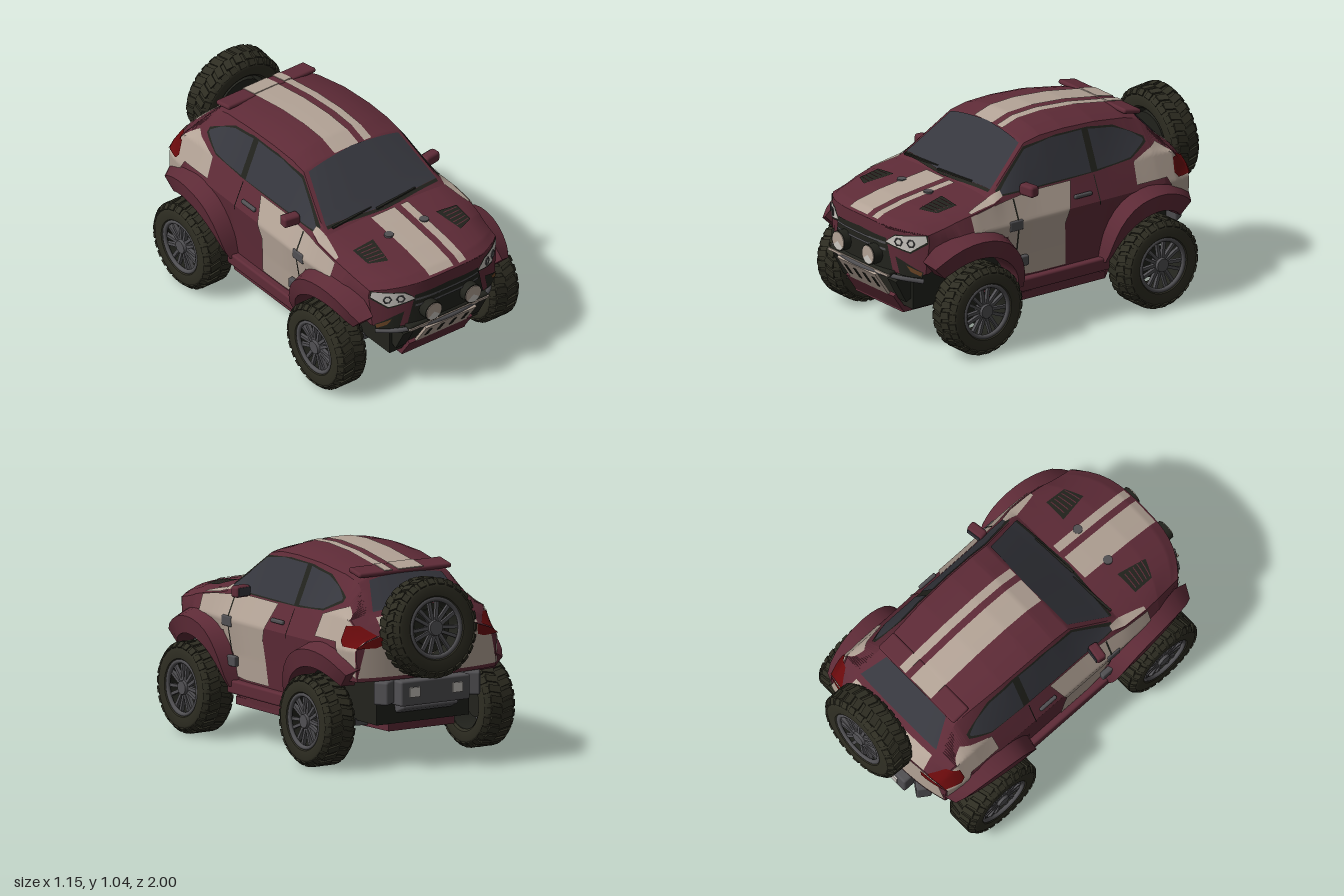
import * as THREE from 'three';
import { mergeGeometries, toCreasedNormals } from 'three/addons/utils/BufferGeometryUtils.js';
import { RoundedBoxGeometry } from 'three/addons/geometries/RoundedBoxGeometry.js';

const mat = (name, color) => new THREE.MeshStandardMaterial({ name, color, side: THREE.DoubleSide });
const maroon = mat('maroon paint', 0x5e2b37), cream = mat('cream paint', 0xb3a396);
const glass = mat('dark glass', 0x36373e), black = mat('black trim', 0x22231d);
const rubber = mat('tyre rubber', 0x2e2d22), metal = mat('grey metal', 0x515053);
const lens = mat('lamp lens', 0xcbc7c1), red = mat('tail lamp red', 0x6a0a0c);
const rust = mat('suspension brown', 0x6b4526);

// Body stations: z, low width, mid width, belt width, belt y, top width, top edge y, top centre y
const stations = [
  [-0.85, 0.42, 0.425, 0.375, 0.665, 0.27, 0.705, 0.72],
  [-0.80, 0.43, 0.44, 0.385, 0.705, 0.28, 0.755, 0.765],
  [-0.74, 0.44, 0.45, 0.40, 0.765, 0.30, 0.79, 0.81],
  [-0.60, 0.44, 0.455, 0.40, 0.775, 0.275, 0.925, 0.965],
  [-0.50, 0.44, 0.455, 0.40, 0.765, 0.285, 0.955, 0.992],
  [-0.30, 0.44, 0.458, 0.40, 0.755, 0.30, 0.985, 1.024],
  [-0.10, 0.44, 0.46, 0.40, 0.755, 0.305, 0.995, 1.038],
  [0.05, 0.44, 0.46, 0.40, 0.755, 0.305, 0.99, 1.03],
  [0.15, 0.44, 0.46, 0.40, 0.755, 0.305, 0.97, 0.997],
  [0.36, 0.43, 0.465, 0.41, 0.755, 0.36, 0.805, 0.825],
  [0.43, 0.43, 0.465, 0.427, 0.735, 0.365, 0.757, 0.77],
  [0.55, 0.42, 0.46, 0.43, 0.715, 0.365, 0.738, 0.757],
  [0.75, 0.42, 0.45, 0.42, 0.69, 0.36, 0.715, 0.732],
  [0.90, 0.41, 0.42, 0.405, 0.66, 0.35, 0.68, 0.70],
  [0.95, 0.39, 0.405, 0.40, 0.65, 0.33, 0.66, 0.675],
];
const lerpStations = new THREE.LinearInterpolant(stations.map(s => s[0]), stations.flatMap(s => s.slice(1)), 7);
const axles = [0.575, -0.535], wheelY = 0.235;

// Rounds nose and tail in plan
const warp = ([x, y, z]) =>
  [x, y, z - Math.sign(z) * (z > 0 ? 2 : 0.7) * Math.abs(x) ** 3 * THREE.MathUtils.smoothstep(Math.abs(z), 0.5, 0.95)];

// Half section from lower edge to top centre, with the wheel arches cut out
function section(z) {
  const [wl, wm, wb, yB, wt, ye, yc] = lerpStations.evaluate(z);
  const zs = warp([0.43, 0, z])[2];
  let low = zs > 0.7 ? 0.4 : zs < -0.65 ? 0.46 : 0.2;
  for (const a of axles) if (Math.abs(zs - a) < 0.29) low = Math.max(low, wheelY + Math.sqrt(0.0841 - (zs - a) ** 2));
  const pts = [[wl - 0.02, low], [wl, Math.max(low, 0.44)], [wm, Math.max(low, 0.62)], [wb, yB]];
  for (let i = 0; i <= 6; i++) { const t = 1 - i / 6; pts.push([wt * t, ye + (yc - ye) * (1 - t ** 3)]); }
  return pts;
}
// Reads one coordinate of the section at a given value of the other
function along(z, key, value) {
  const p = section(z);
  for (let i = key ? 0 : 3; i < p.length - 1; i++) {
    const a = p[i], b = p[i + 1], t = (value - a[key]) / (b[key] - a[key]);
    if (t >= 0 && t <= 1) return a[1 - key] + (b[1 - key] - a[1 - key]) * t;
  }
  return p[key ? 4 : 3][1 - key];
}
const onSide = e => (z, y) => warp([along(z, 1, y) + e, y, z]);
const onTop = e => (x, z) => warp([x, along(z, 0, Math.abs(x)) + e, z]);
const onNose = e => (x, y) => { const p = warp([x, y, 0.95]); p[2] += e; return p; };
const onTail = e => (x, y) => { const p = warp([x, y, -0.85]); p[2] -= e; return p; };

// Surface through rows of points
function grid(rows, crease = 0.6) {
  const n = rows[0].length, index = [];
  for (let i = 0; i < rows.length - 1; i++) for (let j = 0; j < n - 1; j++) {
    const a = i * n + j, b = a + n;
    index.push(a, b, a + 1, b, b + 1, a + 1);
  }
  const g = new THREE.BufferGeometry();
  g.setAttribute('position', new THREE.Float32BufferAttribute(rows.flat(2), 3));
  g.setIndex(index);
  return toCreasedNormals(g, crease);
}
// Thin painted patch between two polylines, laid on a surface
function patch(place, top, bottom) {
  const rows = [], seg = top.length - 1, mix = (a, b, t) => a.map((v, k) => v + (b[k] - v) * t);
  for (let i = 0; i <= seg * 8; i++) {
    const s = Math.min(Math.floor(i / 8), seg - 1), t = i / 8 - s;
    const a = mix(top[s], top[s + 1], t), b = mix(bottom[s], bottom[s + 1], t);
    rows.push(Array.from({ length: 19 }, (_, j) => place(...mix(a, b, j / 18))));
  }
  return grid(rows);
}

function makeWheel() {
  const wheel = new THREE.Group();
  const put = (name, g, m) => { const o = new THREE.Mesh(g, m); o.name = name; wheel.add(o); };
  const prof = [[0.138, -0.075], [0.15, -0.088], [0.195, -0.092], [0.215, -0.082], [0.226, -0.06], [0.228, 0],
    [0.226, 0.06], [0.215, 0.082], [0.195, 0.092], [0.15, 0.088], [0.138, 0.075]].map(p => new THREE.Vector2(...p));
  put('tyre', toCreasedNormals(new THREE.LatheGeometry(prof, 44).rotateZ(-Math.PI / 2), 0.7), rubber);
  const lugs = [], spokes = [];
  for (let i = 0; i < 26; i++) for (const s of [-1, 1]) {
    const turn = (i + s * 0.25) * Math.PI / 13;
    lugs.push(new THREE.BoxGeometry(0.068, 0.02, 0.036).rotateY(s * 0.25).translate(s * 0.03, 0.2245, 0).rotateX(turn));
    lugs.push(new THREE.BoxGeometry(0.034, 0.02, 0.034).rotateZ(-s * 0.75).translate(s * 0.074, 0.214, 0).rotateX(turn));
  }
  put('treadLugs', mergeGeometries(lugs), rubber);
  for (let i = 0; i < 7; i++) for (const s of [-1, 1])
    spokes.push(new THREE.BoxGeometry(0.02, 0.105, 0.016).rotateX(s * 0.14).translate(0.06, 0.085, s * 0.017)
      .rotateX(i * Math.PI * 2 / 7));
  put('spokes', mergeGeometries(spokes), metal);
  put('rimRing', new THREE.TorusGeometry(0.136, 0.012, 8, 36).rotateY(Math.PI / 2).translate(0.075, 0, 0), metal);
  put('hub', new THREE.CylinderGeometry(0.035, 0.045, 0.05, 16).rotateZ(-Math.PI / 2).translate(0.06, 0, 0), metal);
  put('rimBarrel', new THREE.CylinderGeometry(0.139, 0.139, 0.16, 32, 1, true).rotateZ(-Math.PI / 2), black);
  put('brakeDisc', new THREE.CylinderGeometry(0.085, 0.085, 0.02, 24).rotateZ(-Math.PI / 2), black);
  return wheel;
}

// Fender flare swept around a wheel, slimmer at the end that meets the door
function flare(zc, from, to, doorAt) {
  const rows = [];
  for (let i = 0; i <= 14; i++) {
    const t = i / 14, a = THREE.MathUtils.degToRad(from + (to - from) * t);
    const x = 0.475 + 0.067 * Math.sin(Math.PI * t) ** 0.7;
    const slim = 0.085 * THREE.MathUtils.smoothstep(1 - Math.abs(t - doorAt), 0.5, 1);
    rows.push([[0.41, 0.41 - slim], [x, 0.365 - slim * 0.7], [x - 0.01, 0.275], [0.38, 0.27], [0.41, 0.41 - slim]]
      .map(([px, r]) => [px, wheelY + r * Math.sin(a), zc + r * 0.98 * Math.cos(a)]));
  }
  const shut = r => r.map(() => [0.43, (r[0][1] + r[2][1]) / 2, (r[0][2] + r[2][2]) / 2]);
  return grid([shut(rows[0]), ...rows, shut(rows[14])], 0.5);
}

export function createModel() {
  const car = new THREE.Group();
  car.name = 'offRoadCar';
  const add = (name, g, m, x = 0, y = 0, z = 0, rx = 0, ry = 0, rz = 0) => {
    const o = new THREE.Mesh(g, m);
    o.name = name; o.position.set(x, y, z); o.rotation.set(rx, ry, rz); car.add(o);
    return o;
  };
  const pair = (name, ...rest) => {
    const left = add(name + 'Left', ...rest), holder = new THREE.Group();
    holder.name = name + 'Right'; holder.scale.x = -1; holder.add(left.clone()); car.add(holder);
  };
  const box = (w, h, d) => new THREE.BoxGeometry(w, h, d);
  const rbox = (w, h, d, r = 0.012) => new RoundedBoxGeometry(w, h, d, 2, r);
  const rod = (r, l, n = 16) => new THREE.CylinderGeometry(r, r, l, n);

  // Body shell with nose and tail panels
  const shell = [];
  for (let i = 0; i <= 180; i++) {
    const z = -0.85 + i * 0.01, half = section(z);
    shell.push([...half, ...half.slice(0, -1).reverse().map(([x, y]) => [-x, y])].map(([x, y]) => warp([x, y, z])));
  }
  add('bodyShell', grid(shell, 0.45), maroon);
  for (const [name, z] of [['nosePanel', 0.95], ['tailPanel', -0.85]])
    add(name, grid(section(z).map(([x, y]) => Array.from({ length: 21 }, (_, i) => warp([x * (i / 10 - 1), y, z])))), maroon);

  // Roof spoiler, and stripes over spoiler, roof and hood
  add('spoiler', rbox(0.56, 0.026, 0.11), maroon, 0, 0.971, -0.562, -0.2);
  for (const [a, b] of [[-0.108, 0.043], [0.08, 0.126]]) {
    for (const [z0, z1] of [[0.15, -0.53], [0.94, 0.45]]) {
      const line = x => Array.from({ length: 7 }, (_, i) => [x, z0 + (z1 - z0) * i / 6]);
      add('stripe', patch(onTop(0.005), line(a), line(b)), cream);
    }
    add('spoilerStripe', box(b - a, 0.006, 0.1), cream, (a + b) / 2, 0.984, -0.564, -0.2);
  }
  // Cream side panels
  pair('fenderCream', patch(onSide(0.007), [[0.6, 0.705], [0.45, 0.73], [0.2, 0.752], [-0.07, 0.752]],
    [[0.6, 0.56], [0.45, 0.56], [0.2, 0.55], [0.0, 0.55]]), cream);
  pair('hoodCornerCream', patch(onTop(0.006), [[0.385, 0.36], [0.375, 0.43], [0.41, 0.59]], [[0.409, 0.36], [0.426, 0.43], [0.427, 0.59]]), cream);
  pair('doorCream', patch(onSide(0.005), [[0.36, 0.56], [0.2, 0.55], [0, 0.55]], [[0.30, 0.33], [0.2, 0.32], [-0.02, 0.32]]), cream);
  pair('quarterCream', patch(onSide(0.007), [[-0.47, 0.762], [-0.55, 0.79], [-0.65, 0.82], [-0.74, 0.763], [-0.80, 0.704], [-0.85, 0.664]],
    [[-0.46, 0.65], [-0.58, 0.65], [-0.67, 0.65], [-0.73, 0.56], [-0.80, 0.5], [-0.85, 0.48]]), cream);
  add('tailCream', patch(onTail(0.004), [[-0.375, 0.665], [-0.27, 0.703], [0.27, 0.703], [0.375, 0.665]],
    [[-0.42, 0.48], [-0.27, 0.48], [0.27, 0.48], [0.42, 0.48]]), cream);
  add('tailTopCream', patch(onTop(0.004), [[-0.28, -0.775], [0, -0.775], [0.28, -0.775]], [[-0.29, -0.85], [0, -0.85], [0.29, -0.85]]), cream);

  // Windows
  pair('windowTrim', patch(onSide(0.004), [[0.38, 0.785], [0.16, 0.957], [-0.05, 0.977], [-0.25, 0.972], [-0.41, 0.945], [-0.585, 0.855]],
    [[0.38, 0.762], [0.16, 0.757], [-0.05, 0.757], [-0.25, 0.76], [-0.46, 0.775], [-0.585, 0.83]]), black);
  pair('doorWindow', patch(onSide(0.008), [[0.36, 0.785], [0.16, 0.945], [0, 0.97], [-0.205, 0.968]],
    [[0.36, 0.77], [0.16, 0.765], [0, 0.765], [-0.205, 0.765]]), glass);
  pair('rearSideWindow', patch(onSide(0.008), [[-0.245, 0.963], [-0.40, 0.938], [-0.50, 0.898], [-0.57, 0.85]],
    [[-0.245, 0.77], [-0.36, 0.775], [-0.46, 0.785], [-0.57, 0.84]]), glass);
  add('windshield', patch(onTop(0.007), [[-0.285, 0.165], [0, 0.15], [0.285, 0.165]], [[-0.35, 0.395], [0, 0.425], [0.35, 0.395]]), glass);
  add('cowl', patch(onTop(0.006), [[-0.35, 0.395], [0, 0.425], [0.35, 0.395]], [[-0.35, 0.41], [0, 0.44], [0.35, 0.41]]), black);
  add('rearWindow', patch(onTop(0.007), [[-0.22, -0.615], [0.22, -0.615]], [[-0.28, -0.745], [0.28, -0.745]]), glass);
  for (const x of [-0.2, 0.08]) add('wiper', box(0.26, 0.008, 0.012), black, x, 0.79, 0.412, 0, 0.08, 0.03);

  // Hood vents and pins
  pair('hoodVent', patch(onTop(0.005), [[0.2, 0.59], [0.33, 0.6]], [[0.23, 0.77], [0.325, 0.75]]), black);
  for (let i = 0; i < 5; i++) pair('ventSlat', patch(onTop(0.009), [[0.225, 0.617 + i * 0.03], [0.315, 0.617 + i * 0.03]],
    [[0.225, 0.623 + i * 0.03], [0.315, 0.623 + i * 0.03]]), maroon);
  pair('hoodPin', rod(0.025, 0.01, 12), metal, 0.112, 0.754, 0.605);

  // Nose: grille, lamps, intakes
  add('grille', patch(onNose(0.004), [[-0.2, 0.605], [0, 0.615], [0.2, 0.605]], [[-0.24, 0.44], [0, 0.44], [0.24, 0.44]]), black);
  for (const y of [0.585, 0.55]) add('grilleBar', patch(onNose(0.009), [[-0.2, y], [0, y], [0.2, y]],
    [[-0.2, y - 0.012], [0, y - 0.012], [0.2, y - 0.012]]), metal);
  pair('headlightSurround', patch(onNose(0.003), [[0.215, 0.605], [0.25, 0.635], [0.4, 0.65]], [[0.19, 0.58], [0.33, 0.545], [0.403, 0.605]]), black);
  pair('headlight', patch(onNose(0.006), [[0.22, 0.605], [0.255, 0.63], [0.395, 0.647]], [[0.2, 0.587], [0.33, 0.555], [0.4, 0.615]]), lens);
  for (const x of [0.275, 0.335]) {
    const [px, py, pz] = onNose(0.009)(x, 0.6);
    pair('headlightRing', new THREE.TorusGeometry(0.02, 0.004, 6, 6), metal, px, py, pz, 0, 0.55);
  }
  pair('bumperIntake', patch(onNose(0.005), [[0.255, 0.52], [0.3, 0.5], [0.385, 0.45]], [[0.28, 0.425], [0.33, 0.42], [0.38, 0.42]]), black);
  pair('intakeBrace', patch(onNose(0.009), [[0.315, 0.482], [0.383, 0.45]], [[0.335, 0.45], [0.378, 0.43]]), rust);
  pair('spotLamp', rod(0.053, 0.06, 24), black, 0.125, 0.505, 0.965, Math.PI / 2);
  pair('spotLens', rod(0.048, 0.008, 24), cream, 0.125, 0.505, 0.995, Math.PI / 2);
  pair('spotBulb', new THREE.CircleGeometry(0.046, 12, Math.PI * 1.2, Math.PI * 0.6), lens, 0.125, 0.505, 1.0);
  add('bumperLip', rbox(0.5, 0.03, 0.06), black, 0, 0.425, 0.93);

  // Front bar, plate and skid
  const bar = new THREE.CatmullRomCurve3([[-0.36, 0.39, 0.82], [-0.27, 0.41, 0.92], [0, 0.41, 0.965], [0.27, 0.41, 0.92], [0.36, 0.39, 0.82]]
    .map(p => new THREE.Vector3(...p)));
  add('frontBar', new THREE.TubeGeometry(bar, 30, 0.013, 8), metal);
  add('barTopStrip', box(0.5, 0.012, 0.012), cream, 0, 0.42, 0.96);
  add('bumperPlate', box(0.32, 0.15, 0.014), cream, 0, 0.345, 0.93, 0.6);
  for (let i = 0; i < 4; i++) add('plateSlot', box(0.02, 0.07, 0.004), black, -0.115 + i * 0.077, 0.345, 0.939, 0.6);
  add('frontSkid', box(0.4, 0.12, 0.02), maroon, 0, 0.235, 0.85, 0.6);
  pair('barBracket', box(0.07, 0.14, 0.12), black, 0.23, 0.35, 0.84, 0.5);

  // Tail lamps wrapping the rear corners, and rear bumper
  pair('tailLamp', patch(onSide(0.014), [[-0.735, 0.738], [-0.78, 0.738], [-0.855, 0.69]],
    [[-0.73, 0.665], [-0.76, 0.637], [-0.855, 0.632]]), red);
  pair('tailLampBack', patch(onTail(0.009), [[0.28, 0.698], [0.325, 0.684], [0.385, 0.662]], [[0.285, 0.645], [0.325, 0.632], [0.432, 0.632]]), red);
  add('rearBumper', rbox(0.42, 0.13, 0.11), metal, 0, 0.39, -0.835);
  pair('rearBumperCorner', rbox(0.14, 0.12, 0.08), metal, 0.245, 0.395, -0.8, 0, 0.6);
  add('rearBumperLip', rbox(0.34, 0.05, 0.08), metal, 0, 0.31, -0.8, 0.4);
  pair('rearBumperLight', box(0.06, 0.05, 0.01), lens, 0.13, 0.395, -0.893);

  // Doors: seam, hinges, handle, sill, mirrors
  pair('doorSeam', patch(onSide(0.01), [[0.308, 0.74], [0.298, 0.74]], [[0.302, 0.33], [0.292, 0.33]]), black);
  pair('doorRearSeam', patch(onSide(0.006), [[-0.215, 0.75], [-0.22, 0.75]], [[-0.215, 0.6], [-0.22, 0.6]]), black);
  for (const [y, z] of [[0.61, 0.315], [0.41, 0.28]]) pair('hinge', rbox(0.03, 0.055, 0.085, 0.008), metal, 0.458, y, z);
  pair('doorHandle', rbox(0.02, 0.022, 0.11, 0.008), metal, 0.448, 0.672, -0.12);
  pair('sill', rbox(0.06, 0.07, 0.6), maroon, 0.435, 0.275, 0.02);
  pair('mirror', rbox(0.095, 0.06, 0.055, 0.015), maroon, 0.445, 0.775, 0.22, 0, 0.15);
  pair('mirrorGlass', box(0.078, 0.042, 0.004), glass, 0.441, 0.775, 0.192, 0, 0.15);

  // Flares, floor and chassis
  pair('frontFlare', flare(axles[0], 44, 172, 1), maroon);
  pair('rearFlare', flare(axles[1], 10, 134, 0), maroon);
  const half = [[0.2, 0.83], [0.2, 0.5], [0.42, 0.3], [0.42, -0.28], [0.22, -0.48], [0.2, -0.76]];
  const outline = new THREE.Shape([...half, ...half.map(([x, z]) => [-x, z]).reverse()].map(p => new THREE.Vector2(...p)));
  add('floor', new THREE.ExtrudeGeometry(outline, { depth: 0.04, bevelEnabled: false }).rotateX(Math.PI / 2), maroon, 0, 0.22, 0);
  add('chassis', box(0.56, 0.3, 1.6), black, 0, 0.37, 0.03);
  for (const z of [0.28, -0.25]) add('bulkhead', box(0.8, 0.3, 0.02), black, 0, 0.36, z);
  for (const z of axles) {
    add('axle', rod(0.03, 0.8), black, 0, wheelY, z, 0, 0, Math.PI / 2);
    pair('controlArm', box(0.22, 0.035, 0.1), metal, 0.29, 0.21, z, 0, 0, 0.06);
    pair('shockAbsorber', rod(0.022, 0.22), black, 0.33, 0.38, z + 0.06, 0, 0, 0.25);
    pair('steeringJoint', box(0.06, 0.025, 0.04), rust, 0.36, 0.285, z + 0.05);
  }

  // Wheels and spare
  const wheel = makeWheel();
  for (const z of axles) for (const s of [-1, 1]) {
    const w = wheel.clone();
    w.name = (z > 0 ? 'front' : 'rear') + 'Wheel' + (s > 0 ? 'Left' : 'Right');
    w.position.set(s * 0.484, wheelY, z);
    if (s < 0) w.rotation.y = Math.PI;
    car.add(w);
  }
  const spare = new THREE.Group();
  spare.name = 'spareWheel';
  wheel.rotation.y = Math.PI / 2;
  spare.add(wheel);
  spare.position.set(0.05, 0.72, -0.895);
  spare.rotation.set(0.1, 0, 0);
  spare.scale.set(1.09, 1.09, 0.9);
  car.add(spare);
  add('spareMount', rod(0.13, 0.06, 24), black, 0.05, 0.715, -0.86, Math.PI / 2 + 0.1);
  return car;
}
